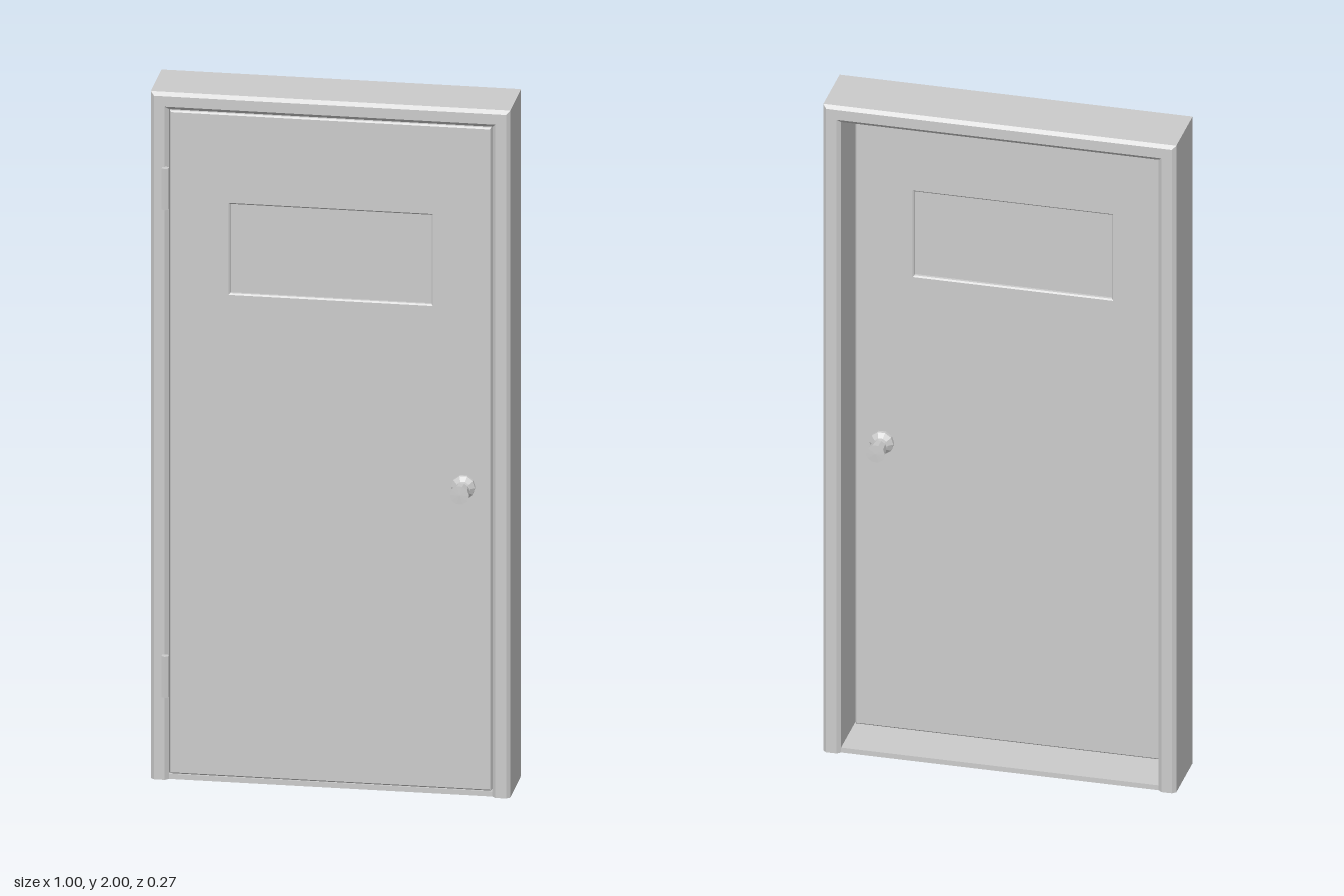
import * as THREE from 'three';

const material = new THREE.MeshStandardMaterial({ color: 0xcccccc, flatShading: true });

const DOOR_FRONT = 0.057, DOOR_BACK = 0.017;

function addMesh(parent, name, geometry, x = 0, y = 0, z = 0) {
  const mesh = new THREE.Mesh(geometry, material);
  mesh.name = name;
  mesh.position.set(x, y, z);
  parent.add(mesh);
  return mesh;
}

// Chamfered section [inset, z] swept up one jamb, across the head and down the other, with mitred corners
function frameGeometry() {
  const section = [
    [0, -0.126], [0, 0.053], [0.01, 0.063], [0.04, 0.063],
    [0.05, 0.053], [0.05, -0.126], [0.04, -0.135], [0.01, -0.135],
  ];
  const corners = [[-1, 0], [-1, 1], [1, 1], [1, 0]];
  const rings = corners.map(([side, top]) =>
    section.map(([o, z]) => [side * (0.5 - o), top ? 2 - o : 0, z]));
  const positions = [];
  const triangle = (a, b, c) => positions.push(...a, ...b, ...c);
  const n = section.length;
  for (let k = 0; k < 3; k++) {
    for (let i = 0; i < n; i++) {
      const j = (i + 1) % n;
      triangle(rings[k][i], rings[k][j], rings[k + 1][j]);
      triangle(rings[k][i], rings[k + 1][j], rings[k + 1][i]);
    }
  }
  for (let i = 1; i < n - 1; i++) {
    triangle(rings[0][0], rings[0][i + 1], rings[0][i]);
    triangle(rings[3][0], rings[3][i], rings[3][i + 1]);
  }
  const geometry = new THREE.BufferGeometry();
  geometry.setAttribute('position', new THREE.Float32BufferAttribute(positions, 3));
  geometry.computeVertexNormals();
  return geometry;
}

function rectangle(target, x0, y0, x1, y1) {
  target.moveTo(x0, y0);
  target.lineTo(x1, y0);
  target.lineTo(x1, y1);
  target.lineTo(x0, y1);
  target.closePath();
  return target;
}

// Door slab with a window opening and finely chamfered edges
function leafGeometry() {
  const shape = rectangle(new THREE.Shape(), -0.447, 0.017, 0.447, 1.947);
  shape.holes.push(rectangle(new THREE.Path(), -0.28, 1.424, 0.28, 1.684));
  const bevel = 0.004;
  const geometry = new THREE.ExtrudeGeometry(shape, {
    depth: DOOR_FRONT - DOOR_BACK - 2 * bevel,
    bevelEnabled: true, bevelSegments: 1,
    bevelSize: bevel, bevelThickness: bevel, bevelOffset: -bevel,
  });
  return geometry.translate(0, 0, DOOR_BACK + bevel);
}

// Rose, neck and flared grip turned around the z axis
function knobGeometry() {
  const profile = [
    [0, 0], [0.034, 0], [0.034, 0.01], [0.021, 0.021], [0.013, 0.023],
    [0.013, 0.034], [0.022, 0.037], [0.027, 0.076], [0, 0.077],
  ].map(([r, h]) => new THREE.Vector2(r, h));
  return new THREE.LatheGeometry(profile, 10, Math.PI / 2).rotateX(Math.PI / 2);
}

export function createModel() {
  const model = new THREE.Group();
  model.name = 'door';

  // Surround
  addMesh(model, 'frame', frameGeometry());
  addMesh(model, 'threshold', new THREE.BoxGeometry(0.9, 0.015, 0.179), 0, 0.0075, -0.0365);

  // Leaf and window
  addMesh(model, 'doorLeaf', leafGeometry());
  addMesh(model, 'windowPane', new THREE.BoxGeometry(0.57, 0.27, 0.016), 0, 1.554, (DOOR_FRONT + DOOR_BACK) / 2);

  // Knobs on both faces
  const knob = knobGeometry();
  addMesh(model, 'frontKnob', knob, 0.37, 0.9, DOOR_FRONT);
  addMesh(model, 'backKnob', knob, 0.37, 0.9, DOOR_BACK).rotation.y = Math.PI;

  // Hinge barrels
  for (const [name, y] of [['upperHinge', 1.725], ['lowerHinge', 0.305]]) {
    addMesh(model, name, new THREE.CylinderGeometry(0.011, 0.011, 0.12, 6), -0.457, y, 0.071);
  }
  return model;
}
